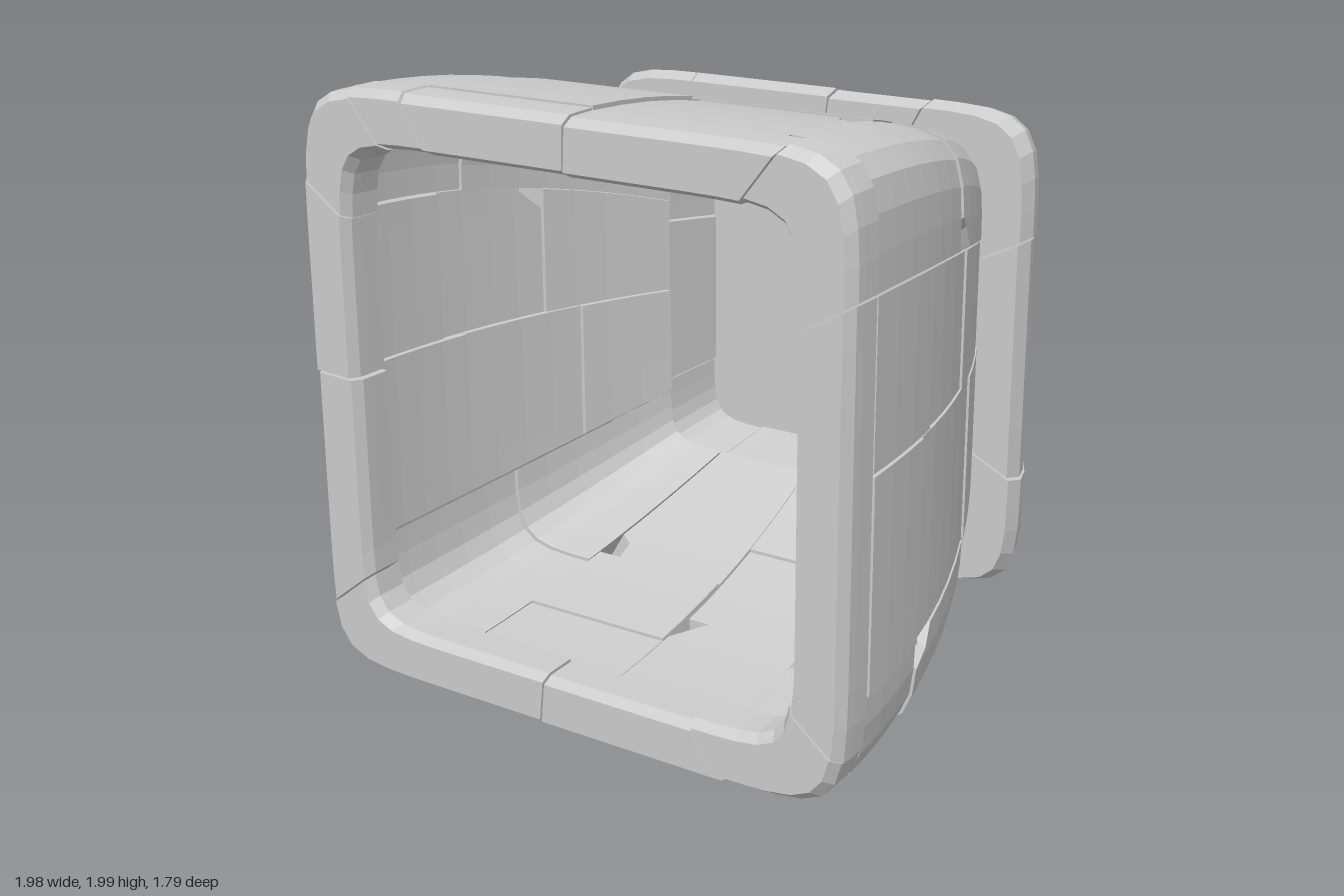
import * as THREE from 'three';

const material = new THREE.MeshStandardMaterial({ color: 0xcccccc, flatShading: true });

// piecewise-linear lookup through [z, value] points in descending z
function lookup(points, z) {
  for (let i = 1; i < points.length; i++) {
    const [za, a] = points[i - 1], [zb, b] = points[i];
    if (z >= zb || i === points.length - 1) {
      return a + (b - a) * THREE.MathUtils.clamp((za - z) / (za - zb), 0, 1);
    }
  }
}

// point on a soft-cornered square: s runs clockwise, 2 per side, 0 = top middle
function around(s, radius, power) {
  const side = Math.floor((s + 1) / 2);
  const u = s - 2 * side;
  const f = radius * Math.pow(1 + Math.pow(Math.abs(u), power), -1 / power);
  let x = u * f, y = f;
  for (let i = 0; i < ((side % 4) + 4) % 4; i++) [x, y] = [y, -x];
  return [x, y];
}

// half-size of the tapering body, curving in toward the back
const bodySize = z => 0.995 - 0.31 * Math.pow(Math.max(0, 0.89 - z) / 1.45, 2.2);

const CAP_OUTER = [[-0.54, 0.83], [-0.57, 0.86], [-0.66, 0.84], [-0.78, 0.775], [-0.86, 0.69], [-0.9, 0.64]];
const CAP_INNER = [[-0.54, 0.6], [-0.84, 0.54], [-0.9, 0.52]];
const RIM_BEVEL = [[0.89, 0.03], [0.85, 0.004], [0.7, 0]];

const wall = z => [bodySize(z), bodySize(z) - 0.11];
const rim = z => {
  const bevel = lookup(RIM_BEVEL, z);
  return [bodySize(z) - bevel, 0.81 + bevel * 0.8];
};
const cap = z => [lookup(CAP_OUTER, z), lookup(CAP_INNER, z)];

// a curved block between s0..s1 and z0..z1; notch = [±1, ±1] pulls in one corner
function block(name, profile, s0, s1, z0, z1, { step = 0.14, gap = 0.004, lift = 0, notch = null, centre = 1, power = 11 } = {}) {
  const ns = Math.max(2, Math.ceil((s1 - s0) / 0.12));
  const nz = Math.max(2, Math.ceil((z1 - z0) / step));
  const geometry = new THREE.BoxGeometry(1, 1, 1, ns, 1, nz);
  const p = geometry.attributes.position;
  for (let i = 0; i < p.count; i++) {
    let a = p.getX(i), c = p.getZ(i);
    if (notch && a * notch[0] > 0.49 && c * notch[1] > 0.49) {
      a -= notch[0] * 0.7 / ns;
      c -= notch[1] * 0.7 / nz;
    }
    const s = THREE.MathUtils.lerp(s0 + gap, s1 - gap, a + 0.5);
    const z = THREE.MathUtils.lerp(z0 + gap / 2, z1 - gap / 2, c + 0.5);
    const [outer, inner] = profile(z);
    const [x, y] = around(s, (p.getY(i) > 0 ? outer : inner) + lift, power);
    p.setXYZ(i, x, y + centre, z);
  }
  geometry.computeVertexNormals();
  const mesh = new THREE.Mesh(geometry, material);
  mesh.name = name;
  return mesh;
}

// wall strips: start, end, z breaks, and notched corners by block index
const STRIPS = [
  [-0.58, 0.05, [0.74, 0.21, -0.28, -0.56], { 1: [-1, 1] }],
  [0.05, 0.72, [0.74, 0.18, 0, -0.56], { 0: [1, -1] }],
  [0.72, 1.42, [0.74, 0.02, -0.56], { 1: [1, 1] }],
  [1.42, 1.95, [0.74, 0.32, -0.07, -0.56], {}],
  [1.95, 2.65, [0.74, 0.38, -0.22, -0.56], {}],
  [2.65, 3.4, [0.74, 0.36, -0.22, -0.56], { 1: [-1, 1] }],
  [3.4, 3.95, [0.74, 0.25, -0.15, -0.56], { 0: [1, -1] }],
  [3.95, 4.6, [0.74, 0.4, 0.05, -0.56], { 2: [1, 1] }],
  [4.6, 5.35, [0.74, 0.1, -0.56], {}],
  [5.35, 6.05, [0.74, 0.3, -0.2, -0.56], {}],
  [6.05, 6.65, [0.74, 0.4, -0.05, -0.56], { 1: [1, -1] }],
  [6.65, 7.42, [0.74, 0.3, -0.56], {}],
];
const RIM_BREAKS = [-0.8, -0.58, 0.05, 0.78, 1.42, 2.83, 3.43, 4.1, 5.2, 6.05, 6.7, 7.2];
const CAP_BREAKS = [-0.55, 0.12, 0.55, 1.5, 2.5, 3.88, 4.6, 5.45, 6.5, 7.45];

export function createModel() {
  const model = new THREE.Group();
  model.name = 'patchedShell';

  // tiled hollow walls
  const walls = new THREE.Group();
  walls.name = 'walls';
  STRIPS.forEach(([s0, s1, zs, notches], row) => {
    for (let i = 0; i < zs.length - 1; i++) {
      const lift = ((row * 3 + i * 2) % 4) * -0.004;
      walls.add(block('wallBlock', wall, s0, s1, zs[i + 1], zs[i], { lift, notch: notches[i] }));
    }
  });

  // thicker frame around the open front
  const frontRim = new THREE.Group();
  frontRim.name = 'frontRim';
  for (let i = 0; i < RIM_BREAKS.length - 1; i++) {
    const lift = (i % 3) * -0.005;
    frontRim.add(block('rimBlock', rim, RIM_BREAKS[i], RIM_BREAKS[i + 1], 0.74, 0.89, { step: 0.04, lift }));
  }

  // overhanging back cap: bevelled frame blocks around a flat panel
  const backCap = new THREE.Group();
  backCap.name = 'backCap';
  for (let i = 0; i < CAP_BREAKS.length - 1; i++) {
    const lift = (i % 2) * -0.006;
    backCap.add(block('capBlock', cap, CAP_BREAKS[i], CAP_BREAKS[i + 1], -0.9, -0.54,
      { step: 0.06, lift, centre: 0.99, power: 10 }));
  }
  const panel = new THREE.Mesh(new THREE.BoxGeometry(1.1, 1.1, 0.06), material);
  panel.name = 'backPanel';
  panel.position.set(0, 0.99, -0.855);
  backCap.add(panel);

  // close the missing stretch of the rim between its last and first block
  model.add(walls, frontRim, backCap);
  return model;
}
